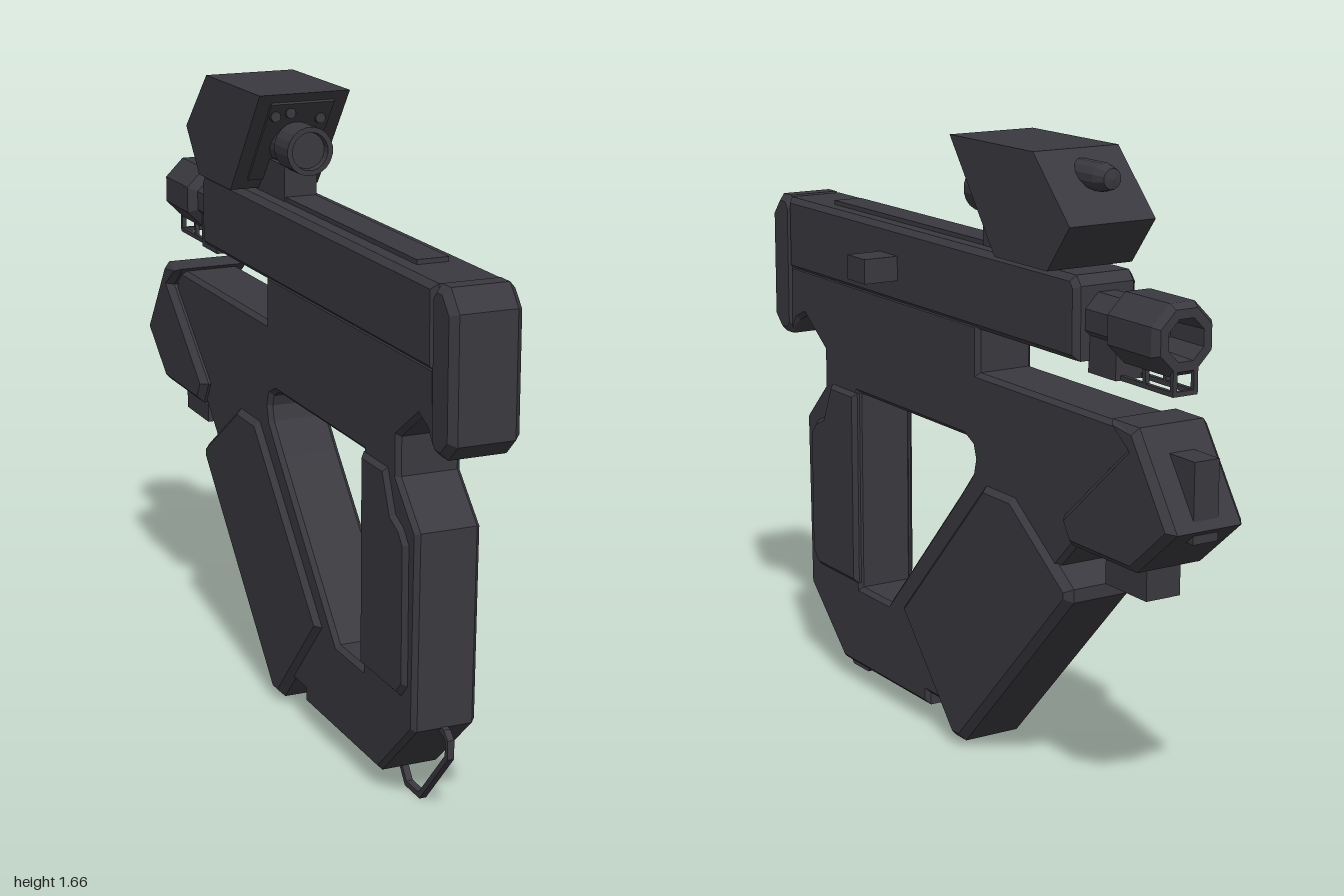
import * as THREE from 'three';

const CX = -0.035; // centre plane of the body

export function createModel() {
  const model = new THREE.Group();
  model.name = 'bullpupBlaster';
  const metal = new THREE.MeshStandardMaterial({ color: 0x3a393f });
  metal.name = 'darkGunmetal';

  const add = (name, geo) => {
    const mesh = new THREE.Mesh(geo, metal);
    mesh.name = name;
    model.add(mesh);
    return mesh;
  };

  // Side outline of [z, y] points, extruded across x with chamfered edges
  const trace = (pts, target) => {
    pts.forEach(([z, y], i) => (i ? target.lineTo(-z, y) : target.moveTo(-z, y)));
    target.closePath();
    return target;
  };
  const slab = (name, pts, half, bevel = 0, hole = null, x = CX) => {
    const shape = trace(pts, new THREE.Shape());
    if (hole) shape.holes.push(trace(hole, new THREE.Path()));
    const geo = new THREE.ExtrudeGeometry(shape, {
      depth: 2 * (half - bevel), bevelEnabled: bevel > 0, bevelSize: bevel,
      bevelThickness: bevel, bevelOffset: -bevel, bevelSegments: 1,
    });
    geo.translate(0, 0, bevel - half).rotateY(Math.PI / 2).translate(x, 0, 0);
    return add(name, geo);
  };

  const box = (name, x0, x1, y0, y1, z0, z1) => {
    const geo = new THREE.BoxGeometry(x1 - x0, y1 - y0, z1 - z0);
    return add(name, geo.translate((x0 + x1) / 2, (y0 + y1) / 2, (z0 + z1) / 2));
  };

  // Turned part running towards -z from z; profile is [radius, distance]
  const turned = (name, profile, sides, x, y, z, faceted = false) => {
    let geo = new THREE.LatheGeometry(profile.map(p => new THREE.Vector2(...p)), sides, Math.PI / sides);
    if (faceted) {
      geo = geo.toNonIndexed();
      geo.computeVertexNormals();
    }
    return add(name, geo.rotateX(-Math.PI / 2).translate(x, y, z));
  };

  // Frame with the grip, the lower bridge and the large hand opening
  slab('frame', [
    [0.9, 1.18], [0.9, 0.98], [0.865, 1.02], [0.82, 1.04], [0.705, 0.96], [0.705, 0.86],
    [0.815, 0.75], [0.805, 0.24], [0.61, 0.06], [0.14, 0.06], [0.14, 0.095], [0.0, 0.095],
    [-0.495, 0.63], [-0.57, 0.705], [-0.8, 0.9], [-0.8, 1.05], [-0.115, 1.05], [-0.115, 1.18],
  ], 0.086, 0.012, [
    [0.51, 0.87], [-0.05, 0.87], [-0.09, 0.85], [-0.1, 0.82], [-0.09, 0.78],
    [-0.02, 0.7], [0.35, 0.3], [0.51, 0.3],
  ]);
  slab('gripPanel', [
    [0.515, 0.87], [0.655, 0.87], [0.7, 0.765], [0.745, 0.745], [0.775, 0.71],
    [0.775, 0.35], [0.74, 0.312], [0.515, 0.312],
  ], 0.098, 0.012);

  // Slanted magazine housing
  slab('magazine', [
    [0.265, 0.315], [-0.16, 0.765], [-0.3, 0.765], [-0.56, 0.585],
    [-0.56, 0.55], [-0.055, 0.02], [-0.005, 0.02],
  ], 0.101, 0.02);

  // Nose guard and its blocks
  slab('noseGuard', [
    [-0.73, 1.06], [-0.84, 1.06], [-0.995, 0.835], [-0.84, 0.705],
    [-0.57, 0.705], [-0.53, 0.77], [-0.8, 1.0],
  ], 0.111, 0.018);
  box('noseBlock', CX - 0.036, CX + 0.036, 0.8, 1.0, -0.98, -0.86);
  box('underBlock', CX - 0.05, CX + 0.05, 0.62, 0.73, -0.82, -0.65);

  // Upper receiver, top strip, bolt handle and butt
  slab('receiver', [
    [0.9, 1.165], [0.9, 1.375], [-0.55, 1.375], [-0.57, 1.35], [-0.57, 1.165],
  ], 0.092, 0.015);
  box('topStrip', CX - 0.042, CX + 0.042, 1.36, 1.387, -0.3, 0.71);
  box('boltHandle', 0.04, 0.158, 1.23, 1.297, 0.277, 0.37);
  slab('buttPlate', [
    [1, 1.325], [0.955, 1.378], [0.91, 1.378], [0.885, 1.35], [0.885, 1.0],
    [0.91, 0.972], [0.955, 0.972], [1, 1.015],
  ], 0.092, 0.018);

  // Eight-sided barrel with a hollow muzzle
  turned('barrel', [
    [0.069, 0], [0.069, 0.13], [0.094, 0.15], [0.094, 0.325], [0.08, 0.345],
    [0.055, 0.345], [0.05, 0.22], [0, 0.22],
  ], 8, CX, 1.268, -0.545, true);
  box('barrelLug', CX - 0.05, CX + 0.05, 1.135, 1.23, -0.68, -0.565);
  for (const s of [-1, 1]) {
    const x = CX + s * 0.03;
    box('underRod', x - 0.006, x + 0.006, 1.135, 1.147, -0.89, -0.67);
    for (const z of [-0.775, -0.884]) box('rodPost', x - 0.006, x + 0.006, 1.14, 1.2, z - 0.006, z + 0.006);
  }
  box('rodBridge', CX - 0.03, CX + 0.03, 1.135, 1.147, -0.89, -0.878);

  // Sight housing with its foot, eyepiece, front lens and screws
  slab('sightHousing', [
    [-0.048, 1.662], [-0.43, 1.662], [-0.59, 1.5], [-0.495, 1.38], [-0.26, 1.38],
  ], 0.126);
  slab('sightRearPanel', [
    [-0.066, 1.638], [-0.06, 1.634], [-0.23, 1.408], [-0.236, 1.412],
  ], 0.088);
  box('sightFoot', CX - 0.045, CX + 0.045, 1.375, 1.47, -0.3, -0.08);
  turned('eyepiece', [
    [0, 0.02], [0.048, 0.02], [0.05, 0], [0.064, 0], [0.064, 0.09], [0.056, 0.09],
    [0.056, 0.25],
  ].map(([r, d]) => [r, d]), 20, CX, 1.515, -0.015, true);
  turned('frontLens', [
    [0.036, 0], [0.036, 0.13], [0.026, 0.165], [0, 0.17],
  ], 12, CX, 1.605, -0.42, true);
  for (const [x, y, z] of [[-0.105, 1.6, -0.075], [-0.065, 1.608, -0.07], [0.025, 1.587, -0.085]]) {
    turned('sightScrew', [[0, 0], [0.014, 0], [0.014, 0.05]], 10, x, y, z, true);
  }

  // Wire sling loop at the heel of the grip
  slab('slingLoop', [
    [0.78, 0.245], [0.82, 0.24], [0.842, 0.22], [0.842, 0.17], [0.69, 0.003],
    [0.605, 0.003], [0.56, 0.06], [0.6, 0.09],
  ], 0.009, 0, [
    [0.78, 0.228], [0.812, 0.225], [0.827, 0.212], [0.827, 0.176], [0.683, 0.018],
    [0.613, 0.018], [0.58, 0.06], [0.61, 0.08],
  ]);

  return model;
}
